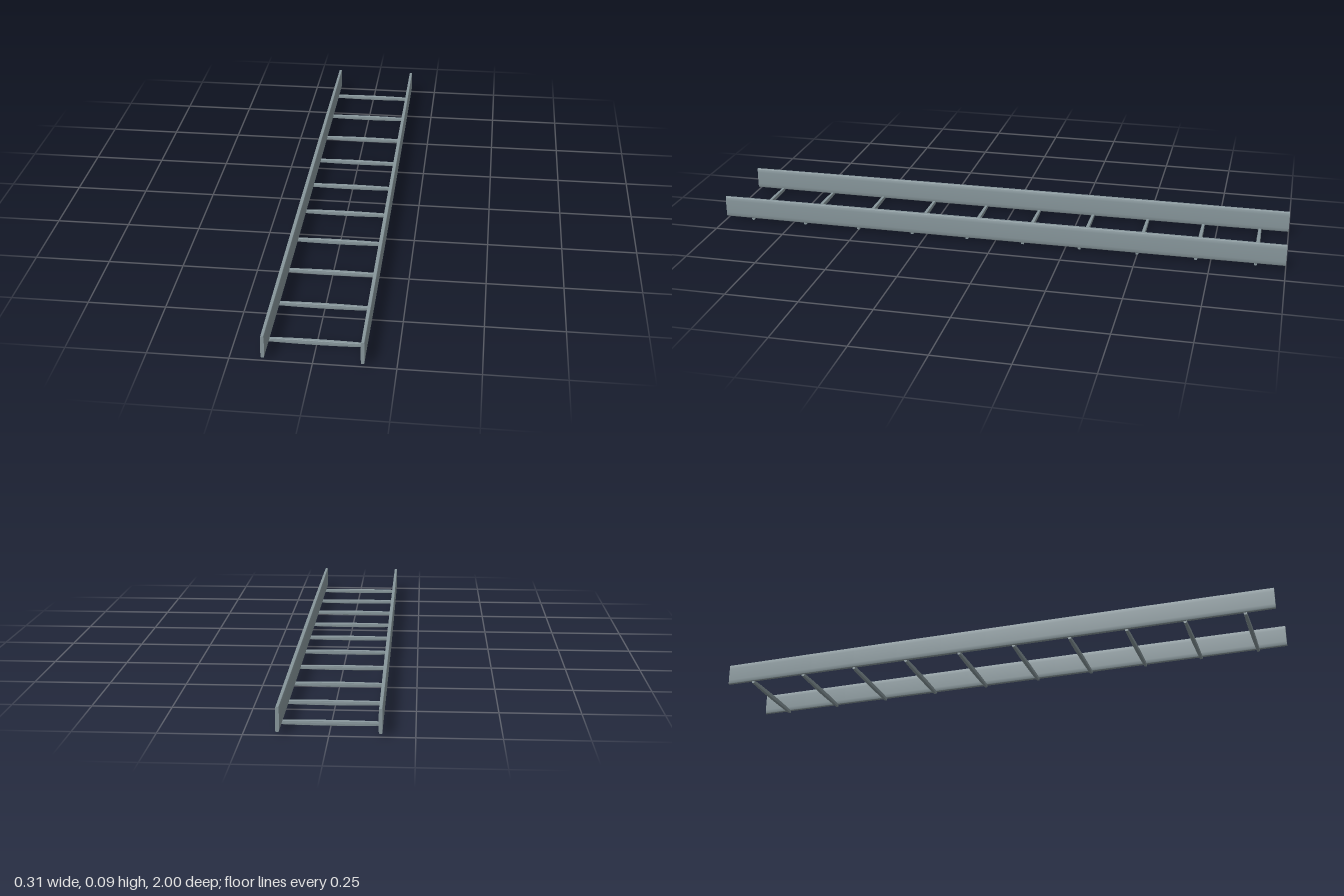
import * as THREE from 'three';
import { toCreasedNormals } from 'three/addons/utils/BufferGeometryUtils.js';

// Bar along z with a softly rounded, bulged section that slims a little toward its ends
function barGeometry(width, height, length, taperX, taperY) {
  const w = width / 2, h = height / 2;
  const r = Math.min(w, h) * 0.5;
  const e = w * 0.86; // half-width near the top and bottom edges
  const shape = new THREE.Shape();
  shape.moveTo(-e + r, -h);
  shape.lineTo(e - r, -h);
  shape.quadraticCurveTo(e, -h, e, -h + r);
  shape.quadraticCurveTo(2 * w - e, 0, e, h - r);
  shape.quadraticCurveTo(e, h, e - r, h);
  shape.lineTo(-e + r, h);
  shape.quadraticCurveTo(-e, h, -e, h - r);
  shape.quadraticCurveTo(-2 * w + e, 0, -e, -h + r);
  shape.quadraticCurveTo(-e, -h, -e + r, -h);
  const geo = new THREE.ExtrudeGeometry(shape, {
    depth: length, steps: 12, bevelEnabled: false, curveSegments: 6,
  });
  geo.translate(0, 0, -length / 2);
  const p = geo.attributes.position;
  for (let i = 0; i < p.count; i++) {
    const t = (2 * p.getZ(i) / length) ** 2;
    p.setX(i, p.getX(i) * (1 - taperX * t));
    p.setY(i, p.getY(i) * (1 - taperY * t));
  }
  return toCreasedNormals(geo, 0.8);
}

export function createModel() {
  const group = new THREE.Group();
  const steel = new THREE.MeshStandardMaterial({ color: 0x87969b });
  steel.name = 'galvanized steel';

  // Two tall side rails
  const railGeo = barGeometry(0.015, 0.077, 2, 0.2, 0.03);
  for (const side of [1, -1]) {
    const rail = new THREE.Mesh(railGeo, steel);
    rail.name = side > 0 ? 'leftRail' : 'rightRail';
    rail.position.set(side * 0.149, 0.0485, 0);
    group.add(rail);
  }

  // Ten evenly spaced rungs under the rails
  const rungGeo = barGeometry(0.015, 0.016, 0.302, 0.25, 0.25);
  rungGeo.rotateY(Math.PI / 2);
  for (let i = 0; i < 10; i++) {
    const rung = new THREE.Mesh(rungGeo, steel);
    rung.name = 'rung' + (i + 1);
    rung.position.set(0, 0.009, -0.9 + i * 0.2);
    group.add(rung);
  }
  return group;
}
